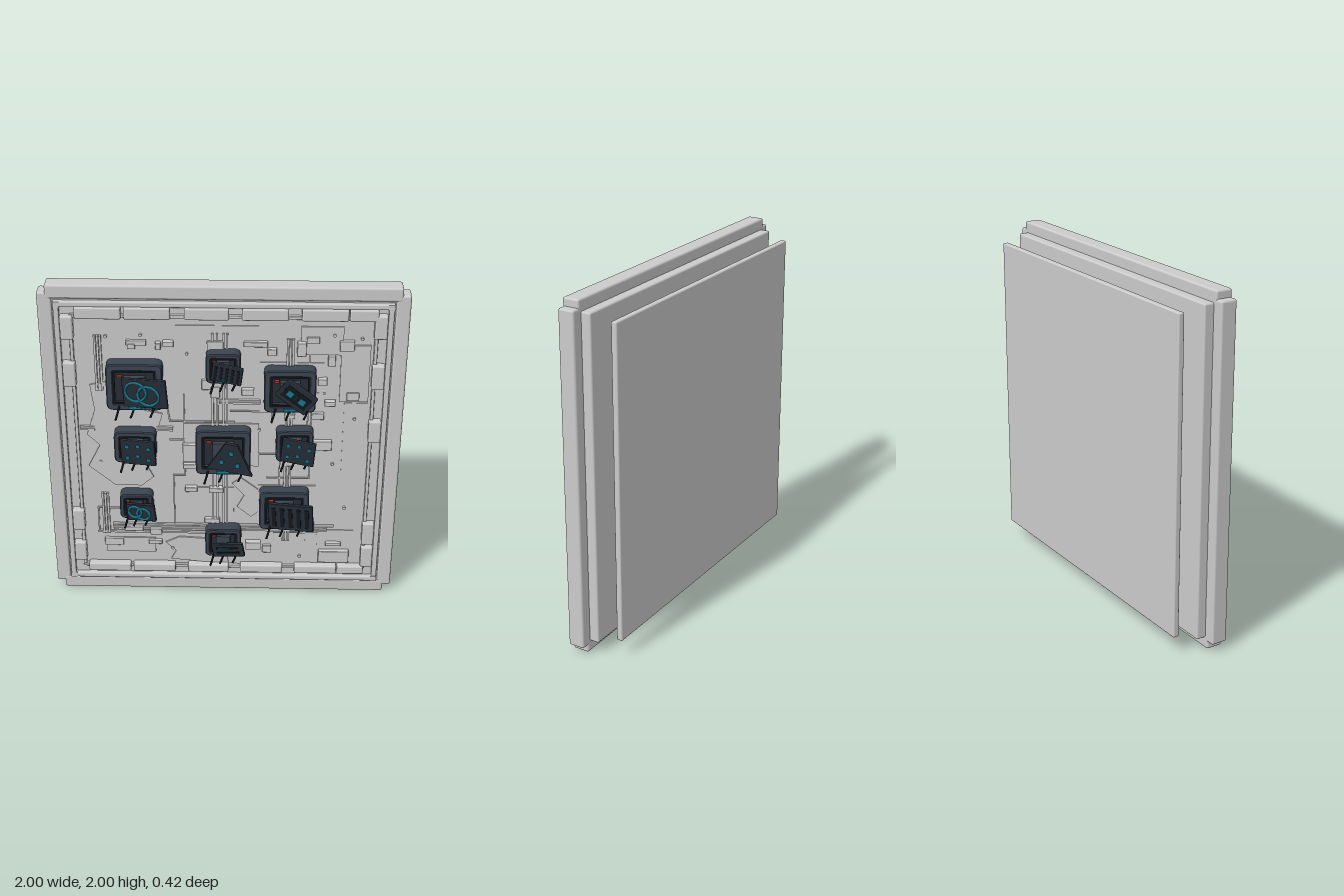
import * as THREE from 'three';
import { RoundedBoxGeometry } from 'three/addons/geometries/RoundedBoxGeometry.js';

const mat = (color) => new THREE.MeshStandardMaterial({ color });
const grey = mat(0xcccccc), slate = mat(0x3b4550), dark = mat(0x262d36), black = mat(0x14181c);
const teal = mat(0x0f7d92), red = mat(0xb03024);
const FLOOR = 0.065; // front surface of the panel

function add(parent, name, geo, material, x = 0, y = 0, z = 0) {
  const m = new THREE.Mesh(geo, material);
  m.name = name;
  m.position.set(x, y, z);
  parent.add(m);
  return m;
}

// Box given by its extents on the panel plane and in depth
function slab(parent, name, [x0, y0, x1, y1], z0, z1, r = 0, material = grey) {
  const w = x1 - x0, h = y1 - y0, d = z1 - z0;
  const geo = r ? new RoundedBoxGeometry(w, h, d, 2, r) : new THREE.BoxGeometry(w, h, d);
  return add(parent, name, geo, material, (x0 + x1) / 2, (y0 + y1) / 2, (z0 + z1) / 2);
}

function roundRect(target, w, h, r) {
  const x = w / 2, y = h / 2;
  target.moveTo(-x + r, -y);
  target.lineTo(x - r, -y); target.quadraticCurveTo(x, -y, x, -y + r);
  target.lineTo(x, y - r); target.quadraticCurveTo(x, y, x - r, y);
  target.lineTo(-x + r, y); target.quadraticCurveTo(-x, y, -x, y - r);
  target.lineTo(-x, -y + r); target.quadraticCurveTo(-x, -y, -x + r, -y);
  return target;
}

// Thin strips following a polyline on the panel
function trace(parent, name, pts, width = 0.008, height = 0.008) {
  for (let i = 1; i < pts.length; i++) {
    const [ax, ay] = pts[i - 1], [bx, by] = pts[i];
    const len = Math.hypot(bx - ax, by - ay) + width;
    const m = add(parent, name, new THREE.BoxGeometry(len, width, height), grey,
      (ax + bx) / 2, (ay + by) / 2, FLOOR + height / 2);
    m.rotation.z = Math.atan2(by - ay, bx - ax);
  }
}

// Raised motif on a lid of size w x h
function motif(lid, kind, w, h) {
  const z = 0.011;
  if (kind === 'rings') {
    const r = h * 0.33;
    for (const [x, y] of [[-w * 0.2, h * 0.06], [w * 0.08, -h * 0.06]])
      add(lid, 'ring', new THREE.TorusGeometry(r, 0.007, 6, 28), teal, x, y, z);
  } else if (kind === 'slots') {
    for (let i = 0; i < 5; i++)
      add(lid, 'slot', new THREE.BoxGeometry(w * 0.09, h * 0.72, 0.012), black, (i - 2) * w * 0.185, 0, z);
  } else if (kind === 'bars') {
    add(lid, 'bar', new THREE.BoxGeometry(w * 0.7, h * 0.14, 0.012), black, 0, -h * 0.16, z);
    add(lid, 'bar', new THREE.BoxGeometry(w * 0.7, h * 0.14, 0.012), black, 0, h * 0.2, z);
    add(lid, 'light', new THREE.BoxGeometry(w * 0.35, h * 0.08, 0.014), teal, -w * 0.1, h * 0.2, z + 0.002);
  } else if (kind === 'squares') {
    for (const s of [-1, 1]) {
      add(lid, 'tile', new THREE.BoxGeometry(w * 0.38, h * 0.6, 0.01), black, s * w * 0.2, 0, z - 0.002);
      add(lid, 'light', new THREE.BoxGeometry(0.035, 0.035, 0.014), teal, s * w * 0.2, 0, z);
    }
  } else {
    const spots = kind === 'dots'
      ? [[-0.3, 0.25], [0.02, 0.3], [0.32, 0.22], [-0.3, -0.22], [0, -0.12], [0.3, -0.25]]
      : [[-0.2, -0.14], [0.17, -0.17], [0, 0.22]];
    for (const [x, y] of spots)
      add(lid, 'light', new THREE.CylinderGeometry(h * 0.075, h * 0.075, 0.014, 12), teal, x * w, y * h, z)
        .rotation.x = Math.PI / 2;
  }
}

// Open case with rounded rim, inner parts, loose tilted lid and hanging wires
function addModule(parent, { x, y, w, h, kind, lid: [lx, ly, lw, lh, spin] }) {
  const g = new THREE.Group();
  g.name = kind + 'Module';
  g.position.set(x, y, 0);
  parent.add(g);
  const rim = 0.11 * w;
  const shape = roundRect(new THREE.Shape(), w - 0.012, h - 0.012, 0.03);
  shape.holes.push(roundRect(new THREE.Path(), w - 2 * rim, h - 2 * rim, 0.012));
  add(g, 'case', new THREE.ExtrudeGeometry(shape, {
    depth: 0.07, bevelThickness: 0.006, bevelSize: 0.006, bevelSegments: 1, curveSegments: 4,
  }), slate, 0, 0, FLOOR + 0.004);
  add(g, 'recess', new THREE.BoxGeometry(w * 0.82, h * 0.82, 0.035), dark, 0, 0, FLOOR + 0.02);
  const iw = w - 2 * rim, ih = h - 2 * rim;
  for (const s of [-1, 1]) {
    add(g, 'innerRail', new THREE.BoxGeometry(0.01, ih, 0.012), black, s * (iw / 2 - 0.01), 0, 0.136);
    add(g, 'innerRail', new THREE.BoxGeometry(iw, 0.01, 0.012), black, 0, s * (ih / 2 - 0.01), 0.136);
  }
  add(g, 'core', new THREE.BoxGeometry(iw * 0.5, ih * 0.5, 0.03), slate, 0, 0, 0.115);
  add(g, 'indicator', new THREE.BoxGeometry(iw * 0.12, 0.012, 0.02), red, -iw * 0.33, ih * 0.3, 0.13);
  add(g, 'strip', new THREE.BoxGeometry(iw * 0.3, 0.016, 0.02), teal, 0, -h * 0.42, 0.147);

  const lid = new THREE.Group();
  lid.name = 'lid';
  lid.position.set(lx, ly, 0.166);
  lid.rotation.set(0.06, -0.2, spin);
  g.add(lid);
  if (kind === 'triangle') {
    const tri = new THREE.Shape([[-0.13, -0.09], [0.13, -0.09], [0.03, 0.1], [-0.04, 0.1]]
      .map(([px, py]) => new THREE.Vector2(px, py)));
    add(lid, 'lidPlate', new THREE.ExtrudeGeometry(tri, { depth: 0.02, bevelEnabled: false }), dark, 0, 0, -0.01);
  } else add(lid, 'lidPlate', new RoundedBoxGeometry(lw, lh, 0.022, 1, 0.005), dark);
  motif(lid, kind, lw, lh);

  for (const [sx, len] of [[-0.32, 0.05], [-0.05, 0.035], [0.3, 0.03]]) {
    const px = sx * w, b = -h / 2;
    const path = new THREE.CatmullRomCurve3([
      new THREE.Vector3(px + 0.015, b + 0.03, 0.135), new THREE.Vector3(px + 0.008, b + 0.005, 0.158),
      new THREE.Vector3(px - 0.008, b - len, 0.168)]);
    add(g, 'wire', new THREE.TubeGeometry(path, 6, 0.006, 6), black);
  }
}

export function createModel() {
  const model = new THREE.Group();
  model.name = 'wallPanel';

  // Backing layers
  slab(model, 'backPlate', [-0.9, 0.1, 0.9, 1.9], -0.21, -0.175, 0.008);
  slab(model, 'backSlab', [-0.935, 0.065, 0.935, 1.935], -0.08, 0.03, 0.01);
  slab(model, 'panel', [-0.92, 0.08, 0.92, 1.92], 0.0, FLOOR);

  // Outer frame, inner lip and trim, mirrored around the centre
  for (const s of [-1, 1]) {
    const rail = (name, a, b, half, z0, z1, r) => {
      const [p, q] = s < 0 ? [-b, -a] : [a, b];
      slab(model, name, [p, 1 - half, q, 1 + half], z0, z1, r);
      slab(model, name, [-half, 1 + p, half, 1 + q], z0, z1 + 0.002, r);
    };
    rail('outerRail', 0.92, 1.0, 0.955, -0.025, 0.07, 0.012);
    rail('innerLip', 0.882, 0.912, 0.89, 0.04, 0.09, 0.007);
    rail('trimStrip', 0.815, 0.835, 0.83, 0.05, 0.08, 0.004);
    for (const t of [-1, 1])
      add(model, 'cornerBlock', new THREE.BoxGeometry(0.035, 0.035, 0.03), grey, s * 0.895, 1 + t * 0.895, 0.077);
  }

  // Bumper blocks along the edges
  for (const [a, b] of [[-0.8, -0.55], [-0.535, -0.285], [-0.21, 0.03], [0.1, 0.35], [0.42, 0.67], [0.675, 0.83]]) {
    slab(model, 'topBumper', [a, 1.815, b, 1.885], 0.05, 0.105, 0.01);
    slab(model, 'bottomBumper', [a, 0.145, b, 0.2], 0.05, 0.105, 0.01);
  }
  for (const [a, b] of [[1.69, 1.83], [1.4, 1.55], [0.44, 0.58], [0.22, 0.35]])
    slab(model, 'leftBumper', [-0.88, a, -0.81, b], 0.05, 0.105, 0.01);
  for (const [a, b] of [[1.71, 1.85], [1.4, 1.55], [1.06, 1.2], [0.36, 0.51], [0.2, 0.34]])
    slab(model, 'rightBumper', [0.81, a, 0.88, b], 0.05, 0.105, 0.01);

  // Thin overlay plates
  const plates = [[-0.29, 1.53, 0.19, 1.77], [0.42, 1.6, 0.65, 1.77], [0.64, 1.31, 0.8, 1.66], [0.67, 0.86, 0.8, 1.3],
    [-0.18, 0.56, 0.06, 0.73], [-0.69, 0.27, -0.4, 0.37], [0.48, 0.34, 0.76, 0.44], [0.2, 0.45, 0.53, 0.75],
    [-0.22, 0.88, 0.2, 1.16], [0.2, 1.24, 0.55, 1.55]];
  plates.forEach((p, i) => slab(model, 'overlayPlate', p, 0.06, FLOOR + 0.005 + (i % 3) * 0.002));

  // Raised boxes
  const boxes = [[-0.53, 1.65, -0.42, 1.68], [-0.52, 1.63, -0.48, 1.66], [-0.37, 1.63, -0.34, 1.67], [-0.33, 1.65, -0.27, 1.68],
    [-0.09, 1.61, 0, 1.68], [0.11, 1.65, 0.24, 1.68], [0.24, 1.6, 0.29, 1.64], [0.4, 1.6, 0.45, 1.68],
    [0.45, 1.67, 0.52, 1.71], [0.63, 1.63, 0.71, 1.69], [0.57, 1.54, 0.61, 1.6], [0.52, 1.42, 0.57, 1.46],
    [-0.12, 1.38, 0.01, 1.44], [-0.07, 1.33, -0.02, 1.4], [0.1, 1.35, 0.17, 1.39], [0.56, 1.29, 0.62, 1.32],
    [0.68, 1.32, 0.75, 1.37], [0.49, 1.2, 0.56, 1.24], [0.5, 1.0, 0.61, 1.06], [-0.23, 0.92, -0.15, 1.03],
    [-0.7, 0.32, -0.59, 0.37], [-0.44, 0.335, -0.36, 0.36], [0.56, 0.22, 0.74, 0.3], [0.13, 0.31, 0.22, 0.36],
    [0.23, 0.28, 0.28, 0.33], [0.45, 0.44, 0.53, 0.5], [-0.22, 0.71, -0.15, 0.74], [-0.23, 0.87, -0.15, 0.9],
    [-0.1, 0.83, -0.02, 0.87], [-0.11, 0.49, -0.02, 0.52], [-0.58, 0.43, -0.47, 0.46], [-0.43, 0.41, -0.36, 0.45],
    [0.34, 1.2, 0.4, 1.23], [0.35, 0.89, 0.4, 0.92], [0.6, 0.34, 0.69, 0.36], [-0.08, 0.71, 0, 0.74]];
  boxes.forEach((b, i) => slab(model, 'raisedBox', b, 0.06, FLOOR + 0.018 + (i % 4) * 0.005, 0.004));

  // Conduit bundles
  const vertical = (x, y0, y1) => trace(model, 'conduit', [[x, y0], [x, y1]], 0.012, 0.016);
  for (const x of [-0.06, -0.035, 0, 0.02]) vertical(x, 0.46, 1.72);
  for (const x of [-0.7, -0.685, -0.67]) { vertical(x, 1.37, 1.7); vertical(x, 0.41, 0.68); }
  for (const x of [0.35, 0.365, 0.38]) vertical(x, 0.37, 1.69);
  for (const [y, a, b] of [[0.47, -0.64, 0.64], [0.453, -0.64, 0.6], [0.437, -0.64, 0.6], [0.415, -0.73, 0.1],
    [1.13, -0.8, -0.73], [1.115, -0.8, -0.73], [1.13, -0.37, -0.29], [1.115, -0.37, -0.29],
    [1.31, -0.02, 0.2], [1.295, -0.02, 0.2]])
    trace(model, 'conduit', [[a, y], [b, y]], 0.011, 0.014);

  // Circuit traces
  for (const pts of [[[-0.32, 1.3], [-0.3, 1.17], [0.06, 1.17]], [[-0.3, 1.05], [-0.15, 1.05]],
    [[-0.22, 1.34], [-0.22, 0.81], [-0.285, 0.81], [-0.285, 0.48]], [[0.47, 1.66], [0.47, 1.12], [0.3, 1.12]],
    [[0.02, 0.96], [0.32, 0.96], [0.32, 0.5]], [[0.56, 1.36], [0.49, 1.36], [0.49, 0.8], [0.25, 0.8]],
    [[0.04, 1.24], [0.27, 1.24], [0.27, 1.17]], [[-0.73, 0.42], [-0.73, 0.58], [-0.59, 0.58]],
    [[0.55, 0.34], [0.55, 0.42], [0.3, 0.42]]])
    trace(model, 'circuitTrace', pts);

  // Buckled, irregular skin pieces
  const skins = [[[-0.74, 1.4], [-0.65, 1.42], [-0.62, 1.28], [-0.34, 1.22], [-0.4, 1.0], [-0.46, 0.92], [-0.4, 0.8],
    [-0.47, 0.74], [-0.62, 0.74], [-0.77, 0.87], [-0.7, 1.01], [-0.77, 1.08], [-0.72, 1.24]],
  [[-0.34, 0.34], [-0.26, 0.38], [-0.1, 0.37], [0.02, 0.25], [0.03, 0.2], [-0.1, 0.2], [-0.31, 0.22], [-0.28, 0.28]],
  [[0.05, 0.76], [0.1, 0.8], [0.2, 0.72], [0.24, 0.6], [0.16, 0.53], [0.08, 0.6], [0.12, 0.68]]];
  for (const pts of skins) {
    const shape = new THREE.Shape(pts.map(([x, y]) => new THREE.Vector2(x, y)));
    add(model, 'buckledSkin', new THREE.ExtrudeGeometry(shape, { depth: 0.014, bevelEnabled: false }), grey, 0, 0, 0.06);
  }

  // Bolts
  for (const [x, y] of [[-0.64, 1.7], [-0.45, 1.71], [0.6, 1.72], [0.75, 1.7], [0.73, 1.2], [0.62, 0.9],
    [-0.7, 0.9], [-0.3, 0.3], [0.45, 0.25], [0.7, 0.6], [-0.2, 1.6], [0.2, 1.12]])
    add(model, 'bolt', new THREE.CylinderGeometry(0.009, 0.009, 0.02, 8), grey, x, y, FLOOR + 0.005).rotation.x = Math.PI / 2;

  // Equipment modules; lid = offset x, y, width, height, spin
  const modules = [
    { x: -0.487, y: 1.422, w: 0.31, h: 0.285, kind: 'rings', lid: [0.06, -0.02, 0.25, 0.18, 0.07] },
    { x: 0, y: 1.543, w: 0.19, h: 0.18, kind: 'slots', lid: [0.022, -0.015, 0.17, 0.11, -0.12] },
    { x: 0.366, y: 1.406, w: 0.285, h: 0.26, kind: 'squares', lid: [0.035, -0.015, 0.2, 0.135, -0.6] },
    { x: -0.495, y: 1.037, w: 0.235, h: 0.2, kind: 'dots', lid: [0.02, -0.015, 0.2, 0.16, 0.05] },
    { x: 0, y: 1.007, w: 0.31, h: 0.285, kind: 'triangle', lid: [0.045, -0.02, 0.25, 0.19, -0.08] },
    { x: 0.4, y: 1.055, w: 0.21, h: 0.2, kind: 'dots', lid: [0.02, -0.02, 0.19, 0.155, -0.08] },
    { x: -0.5, y: 0.637, w: 0.19, h: 0.165, kind: 'rings', lid: [0.03, -0.02, 0.17, 0.115, 0.1] },
    { x: 0.35, y: 0.619, w: 0.285, h: 0.255, kind: 'slots', lid: [0.04, -0.025, 0.26, 0.18, 0.06] },
    { x: 0, y: 0.388, w: 0.21, h: 0.19, kind: 'bars', lid: [0.03, -0.03, 0.19, 0.09, 0.2] },
  ];
  for (const m of modules) addModule(model, m);
  return model;
}
